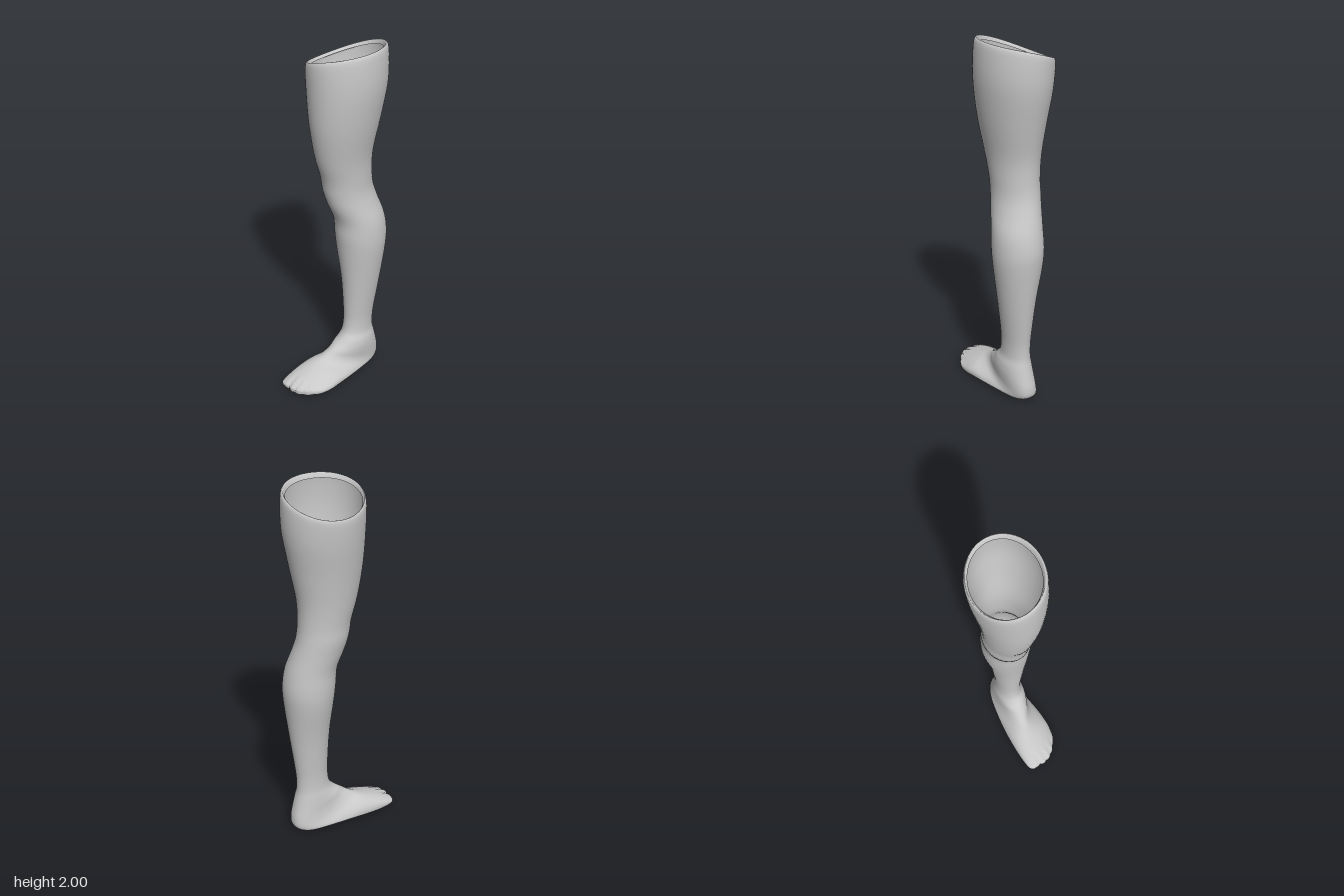
import * as THREE from 'three';

const SEG = 64, SUB = 4;

// Thigh to ankle: [height, front z, back z, x min, x max]
const LEG = [
  [1.975, 0.105, -0.292, -0.172, 0.158],
  [2.0, 0.115, -0.305, -0.186, 0.172],
  [1.96, 0.128, -0.316, -0.192, 0.186],
  [1.8, 0.13, -0.312, -0.182, 0.19],
  [1.6, 0.12, -0.28, -0.16, 0.163],
  [1.4, 0.088, -0.247, -0.14, 0.126],
  [1.27, 0.052, -0.243, -0.127, 0.116],
  [1.18, 0.037, -0.252, -0.125, 0.117],
  [1.1, 0.017, -0.272, -0.115, 0.132],
  [1.0, -0.018, -0.3, -0.103, 0.157],
  [0.9, -0.025, -0.315, -0.102, 0.165],
  [0.8, -0.035, -0.31, -0.094, 0.16],
  [0.6, -0.055, -0.285, -0.06, 0.134],
  [0.4, -0.066, -0.26, -0.04, 0.106],
  [0.32, -0.066, -0.252, -0.036, 0.099],
];

// Foot rings fan from the ankle round to the toes:
// [top z, top y, sole z, sole y, x min, x max, widest point, ridge shift, sole roundness]
const FOOT = [
  [-0.055, 0.26, -0.253, 0.25, -0.038, 0.1, 0.5, 0, 1],
  [-0.03, 0.225, -0.262, 0.2, -0.045, 0.111, 0.5, 0, 0.95],
  [0, 0.2, -0.276, 0.14, -0.05, 0.115, 0.5, -0.01, 0.9],
  [0.03, 0.178, -0.289, 0.08, -0.053, 0.112, 0.47, -0.01, 0.85],
  [0.06, 0.157, -0.285, 0.03, -0.06, 0.108, 0.42, -0.015, 0.8],
  [0.09, 0.14, -0.24, 0.008, -0.072, 0.112, 0.37, -0.02, 0.7],
  [0.12, 0.128, -0.14, 0.01, -0.087, 0.125, 0.34, -0.03, 0.65],
  [0.15, 0.117, -0.02, 0.015, -0.1, 0.138, 0.33, -0.03, 0.6],
  [0.19, 0.103, 0.1, 0.01, -0.105, 0.142, 0.36, -0.03, 0.6],
  [0.235, 0.088, 0.19, 0.004, -0.104, 0.14, 0.4, -0.03, 0.65],
  [0.28, 0.072, 0.26, 0.004, -0.099, 0.135, 0.45, -0.02, 0.7],
  [0.31, 0.058, 0.3, 0.01, -0.09, 0.128, 0.5, 0, 0.75],
  [0.32, 0.045, 0.318, 0.022, -0.072, 0.105, 0.5, 0, 0.8],
];

const TOE_GAPS = [-0.025, 0.02, 0.06, 0.097];

// Catmull-Rom blend between rows
function smoothRows(rows) {
  const out = [];
  for (let i = 0; i < rows.length - 1; i++) {
    const a = rows[Math.max(i - 1, 0)], b = rows[i], c = rows[i + 1];
    const d = rows[Math.min(i + 2, rows.length - 1)];
    for (let s = 0; s < SUB; s++) {
      const t = s / SUB;
      out.push(b.map((_, k) => 0.5 * (2 * b[k] + (c[k] - a[k]) * t
        + (2 * a[k] - 5 * b[k] + 4 * c[k] - d[k]) * t * t
        + (3 * b[k] - a[k] - 3 * c[k] + d[k]) * t * t * t)));
    }
  }
  out.push(rows[rows.length - 1]);
  return out;
}

const power = (v, e) => Math.sign(v) * Math.abs(v) ** e;

function ringPoint([tz, ty, bz, by, x0, x1, wide, ridge, round], angle) {
  const c = Math.cos(angle), s = Math.sin(angle);
  const e = s < 0 ? round : 1;
  const u = power(c, e), v = power(s, e);
  const k = v > 0 ? wide + v * (1 - wide) : wide * (1 + v);
  const x = (x0 + x1) / 2 + u * (x1 - x0) / 2 + ridge * Math.max(0, v) ** 2;
  let y = by + (ty - by) * k;
  let z = bz + (tz - bz) * k;

  // slanted open rim at the thigh
  if (y > 1.4) {
    const rim = 1.955 + 0.345 * x - 0.5 * x * x;
    y = 1.4 + (y - 1.4) * (rim - 1.4) / 0.6;
  }
  // slanted toe line and grooves between the toes
  if (y < 0.2 && z > 0.1) {
    const ramp = THREE.MathUtils.smoothstep(z, 0.22, 0.31);
    const groove = TOE_GAPS.reduce((g, gx) => g + Math.exp(-(((x - gx) / 0.008) ** 2)), 0);
    const end = 0.32 - 6.4 * Math.max(0, x) ** 2 - 0.008 * groove * ramp;
    z = 0.1 + (z - 0.1) * (end - 0.1) / 0.22;
    if (v > 0) y -= 0.009 * groove * ramp * v;
  }
  return [x, y, z];
}

function loft(rows) {
  const pos = [], index = [];
  rows.forEach((row) => {
    for (let j = 0; j < SEG; j++) pos.push(...ringPoint(row, j / SEG * Math.PI * 2));
  });
  for (let i = 0; i < rows.length - 1; i++) {
    for (let j = 0; j < SEG; j++) {
      const n = (j + 1) % SEG;
      const a = i * SEG + j, b = i * SEG + n, c = a + SEG, d = b + SEG;
      index.push(a, b, c, b, d, c);
    }
  }
  // close the toe end by bridging the last ring top to bottom
  const last = (rows.length - 1) * SEG;
  for (let j = 0; j < SEG / 2; j++) {
    const a = last + j, b = last + j + 1;
    const c = last + (SEG - j) % SEG, d = last + SEG - j - 1;
    if (j > 0) index.push(a, b, c);
    if (j < SEG / 2 - 1) index.push(b, d, c);
  }
  const geo = new THREE.BufferGeometry();
  geo.setAttribute('position', new THREE.Float32BufferAttribute(pos, 3));
  geo.setIndex(index);
  geo.computeVertexNormals();
  return geo;
}

export function createModel() {
  const skin = new THREE.MeshStandardMaterial({ color: 0xc8c8c8, side: THREE.DoubleSide });
  skin.name = 'plain grey';

  // level leg rings share the foot's ring layout
  const legRings = LEG.map(([y, f, b, x0, x1]) => [f, y, b, y, x0, x1, 0.5, 0, 1]);
  const leg = new THREE.Mesh(loft(smoothRows([...legRings, ...FOOT])), skin);
  leg.name = 'legAndFoot';

  const model = new THREE.Group();
  model.name = 'leg';
  model.add(leg);
  return model;
}
